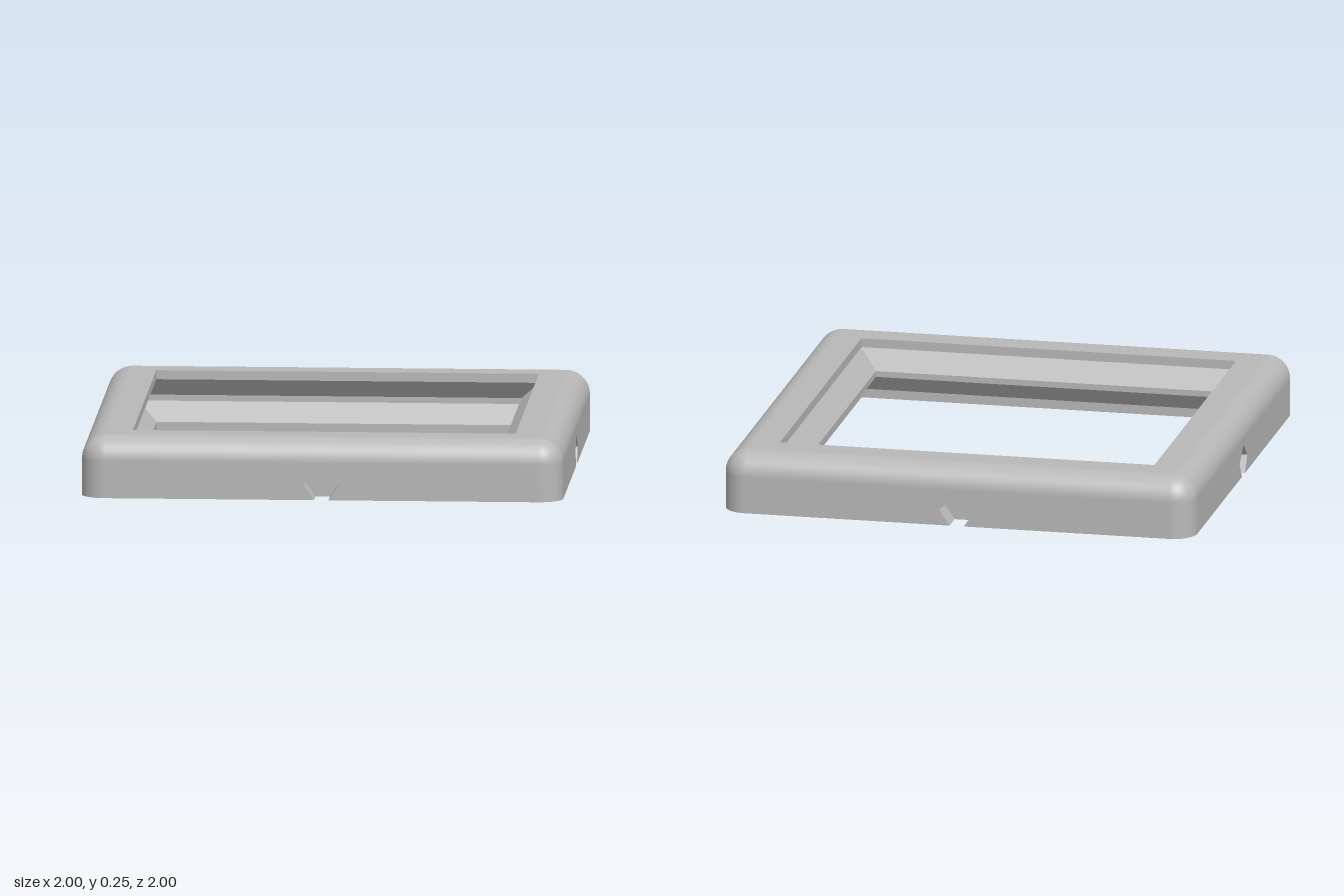
import * as THREE from 'three';

const H = 0.255;       // overall height
const R = 0.1;         // rounding of corners and top edge
const E = 1 - R;       // where the flat sides end
const DEPTH = 0.1;     // depth of the side notches
const OPEN = 0.795;    // half width of the opening
const NOTCH = [[-0.03, 0], [-0.075, 0.066], [0, 0.132], [0.075, 0.066], [0.03, 0]];

const toShape = (pts) => new THREE.Shape(pts.map(([x, y]) => new THREE.Vector2(x, y)));
const square = (s) => [[-s, -s], [s, -s], [s, s], [-s, s]];

// Flat-shaded geometry from four-cornered faces
function fromQuads(quads) {
  const pos = [];
  for (const [a, b, c, d] of quads) pos.push(...a, ...b, ...c, ...a, ...c, ...d);
  const geo = new THREE.BufferGeometry();
  geo.setAttribute('position', new THREE.Float32BufferAttribute(pos, 3));
  geo.computeVertexNormals();
  return geo;
}

// Flat side with the notch cut from its lower edge
function sideGeometry() {
  const geo = new THREE.ShapeGeometry(toShape([[-E, 0], ...NOTCH, [E, 0], [E, H - R], [-E, H - R]]));
  return geo.translate(0, 0, 1);
}

// Walls running into the notch
function notchWallGeometry() {
  const quads = [];
  for (let i = 0; i < NOTCH.length - 1; i++) {
    const p = NOTCH[i], q = NOTCH[i + 1];
    quads.push([[...p, 1 - DEPTH], [...q, 1 - DEPTH], [...q, 1], [...p, 1]]);
  }
  return fromQuads(quads);
}

function notchBackGeometry() {
  return new THREE.ShapeGeometry(toShape([...NOTCH].reverse())).translate(0, 0, 1 - DEPTH);
}

// Quarter-round along the top edge
function edgeGeometry() {
  const geo = new THREE.CylinderGeometry(R, R, 2 * E, 16, 1, true, 0, Math.PI / 2);
  return geo.rotateZ(Math.PI / 2).translate(0, H - R, E);
}

// Upright rounded corner ending in an eighth of a ball
function cornerGeometry() {
  const profile = [new THREE.Vector2(R, 0)];
  for (let i = 0; i <= 16; i++) {
    const a = (i / 16) * Math.PI / 2;
    profile.push(new THREE.Vector2(R * Math.cos(a), H - R + R * Math.sin(a)));
  }
  return new THREE.LatheGeometry(profile, 16, 0, Math.PI / 2).translate(E, 0, E);
}

function topGeometry() {
  const shape = toShape(square(E));
  shape.holes.push(toShape(square(OPEN)));
  return new THREE.ShapeGeometry(shape).rotateX(-Math.PI / 2).translate(0, H, 0);
}

// Underside: rounded square with four slots where the notches break through
function bottomGeometry() {
  const w = NOTCH[4][0];
  const quarter = [[-w, -1], [-w, -1 + DEPTH], [w, -1 + DEPTH], [w, -1]];
  for (let i = 0; i <= 16; i++) {
    const a = (i / 16 - 1) * Math.PI / 2;
    quarter.push([E + R * Math.cos(a), -E + R * Math.sin(a)]);
  }
  const pts = [];
  for (let k = 0; k < 4; k++) {
    const c = Math.round(Math.cos(k * Math.PI / 2)), s = Math.round(Math.sin(k * Math.PI / 2));
    for (const [x, y] of quarter) pts.push([c * x - s * y, s * x + c * y]);
  }
  const shape = toShape(pts);
  shape.holes.push(toShape(square(OPEN)));
  return new THREE.ShapeGeometry(shape).rotateX(Math.PI / 2);
}

// Inner wall: a groove on the low sides and a matching ridge on the high sides
function innerWallGeometry() {
  const rings = [ // low bound, high bound, height
    [-OPEN, OPEN, H], [-OPEN, OPEN, 0.217], [-0.873, 0.717, 0.14],
    [-0.873, 0.717, 0.115], [-OPEN, OPEN, 0.038], [-OPEN, OPEN, 0],
  ].map(([lo, hi, y]) => [[lo, y, hi], [hi, y, hi], [hi, y, lo], [lo, y, lo]]);
  const quads = [];
  for (let i = 0; i < rings.length - 1; i++) {
    for (let k = 0; k < 4; k++) {
      const n = (k + 1) % 4;
      quads.push([rings[i][k], rings[i][n], rings[i + 1][n], rings[i + 1][k]]);
    }
  }
  return fromQuads(quads);
}

export function createModel() {
  const model = new THREE.Group();
  model.name = 'squareFrame';
  const grey = new THREE.MeshStandardMaterial({ color: 0xb8b8b8 });
  grey.name = 'plainGrey';

  const add = (parent, name, geometry) => {
    const mesh = new THREE.Mesh(geometry, grey);
    mesh.name = name;
    parent.add(mesh);
  };

  // Four identical sides, each with its following corner
  const sideParts = {
    outerSide: sideGeometry(),
    notchWalls: notchWallGeometry(),
    notchBack: notchBackGeometry(),
    roundedTopEdge: edgeGeometry(),
    roundedCorner: cornerGeometry(),
  };
  ['front', 'left', 'back', 'right'].forEach((name, k) => {
    const side = new THREE.Group();
    side.name = name + 'Side';
    for (const [part, geometry] of Object.entries(sideParts)) add(side, part, geometry);
    side.rotation.y = k * Math.PI / 2;
    model.add(side);
  });

  add(model, 'topFace', topGeometry());
  add(model, 'bottomFace', bottomGeometry());
  add(model, 'innerWall', innerWallGeometry());
  return model;
}
